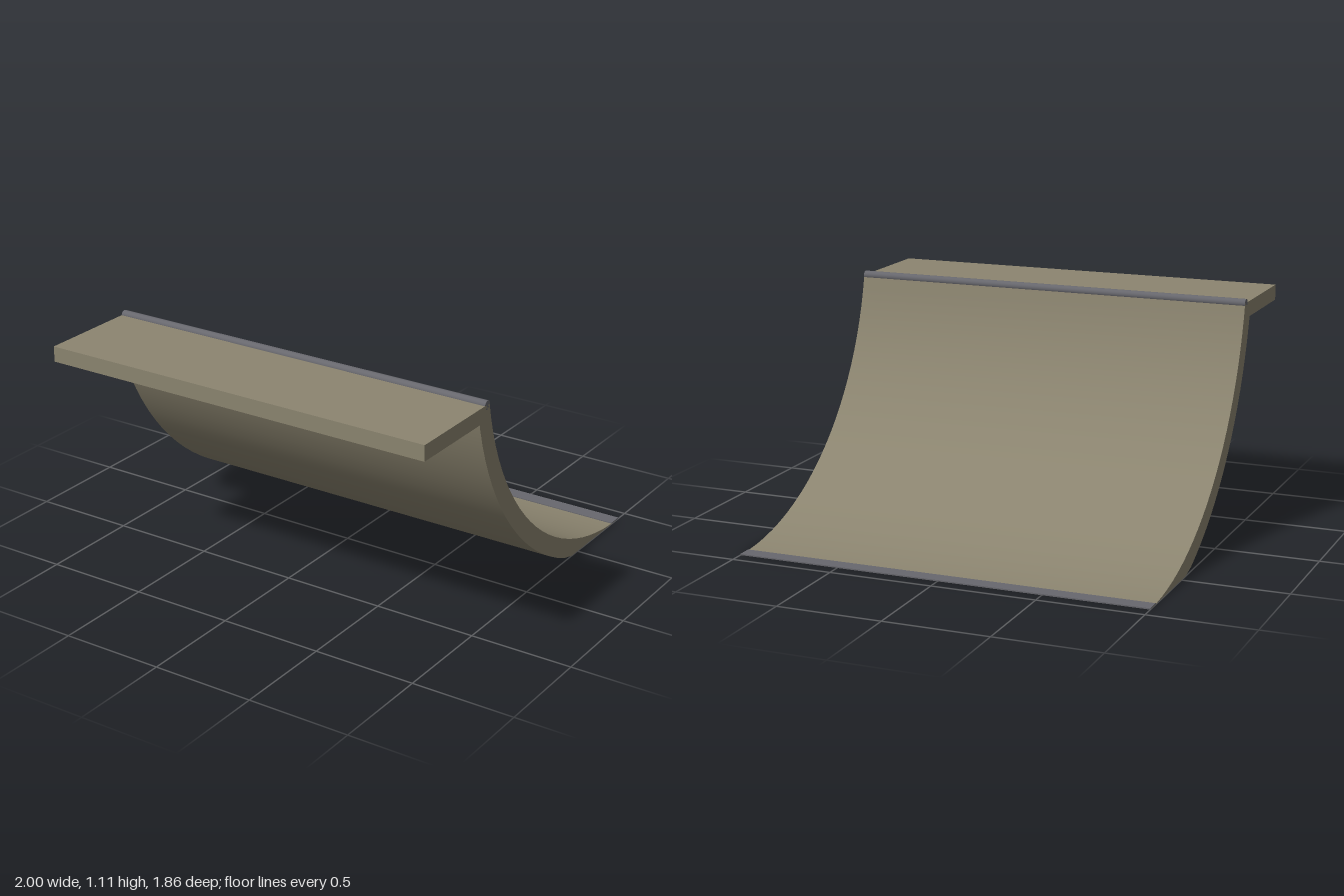
import * as THREE from 'three';
import { toCreasedNormals } from 'three/addons/utils/BufferGeometryUtils.js';

const WIDTH = 2;
const BACK = -0.93;          // foot of the ramp
const RADIUS = 1.356;        // riding surface
const THICKNESS = 0.095;
const ARC = 1.375;           // sweep of the curve in radians
const STEPS = 24;

export function createModel() {
  const concrete = new THREE.MeshStandardMaterial({ color: 0x8c8570 });
  concrete.name = 'concrete';
  const steel = new THREE.MeshStandardMaterial({ color: 0x68686e });
  steel.name = 'steel';

  const model = new THREE.Group();
  model.name = 'quarterPipe';
  const add = (name, geometry, material, y = 0, z = 0) => {
    const mesh = new THREE.Mesh(geometry, material);
    mesh.name = name;
    mesh.position.set(0, y, z);
    model.add(mesh);
    return mesh;
  };

  // Curved slab: concentric arcs, with the outer one cut flat at the ground
  const arcPoint = (r, i) => {
    const a = (ARC * i) / STEPS;
    return new THREE.Vector2(-(BACK + r * Math.sin(a)), Math.max(0, RADIUS - r * Math.cos(a)));
  };
  const profile = [];
  for (let i = 0; i <= STEPS; i++) profile.push(arcPoint(RADIUS, i));
  for (let i = STEPS; i >= 6; i--) profile.push(arcPoint(RADIUS + THICKNESS, i));
  const slab = new THREE.ExtrudeGeometry(new THREE.Shape(profile), { depth: WIDTH, bevelEnabled: false });
  slab.rotateY(Math.PI / 2).translate(-WIDTH / 2, 0, 0);
  add('ramp', toCreasedNormals(slab, 0.6), concrete);

  // Standing platform behind the lip
  add('platform', new THREE.BoxGeometry(WIDTH, 0.075, 0.525), concrete, 1.055, 0.667);

  // Round grind rail along the lip
  const rail = new THREE.CylinderGeometry(0.022, 0.022, WIDTH, 16).rotateZ(Math.PI / 2);
  add('coping', rail, steel, 1.09, 0.418);

  // Thin transition plate at the foot
  add('footPlate', new THREE.BoxGeometry(WIDTH, 0.006, 0.073), steel, 0.003, BACK + 0.0365);

  return model;
}
